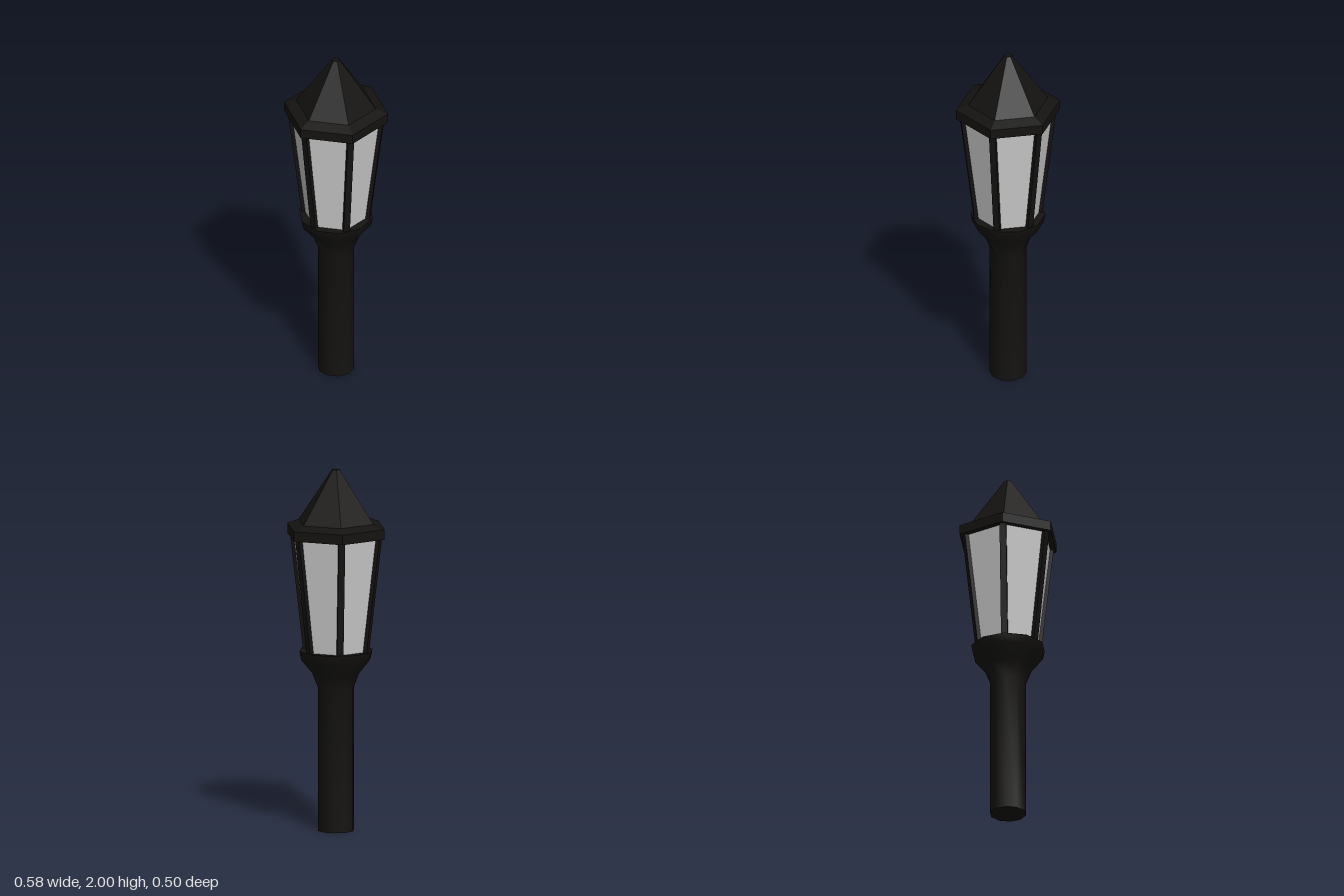
import * as THREE from 'three';
import { toCreasedNormals } from 'three/addons/utils/BufferGeometryUtils.js';

const black = new THREE.MeshStandardMaterial({ color: 0x141311 });
const grey = new THREE.MeshStandardMaterial({ color: 0xcccccc });

// Turned solid with a corner on +x; profile runs from bottom to top
function turned(name, profile, sides, crease, material) {
  const points = profile.map(([r, y]) => new THREE.Vector2(r, y));
  const lathe = new THREE.LatheGeometry(points, sides, Math.PI / 2);
  const mesh = new THREE.Mesh(toCreasedNormals(lathe, crease), material);
  mesh.name = name;
  return mesh;
}

// Upright bar whose outer face leans outward from r0 to r1
function leaningBar(y0, y1, r0, r1, width, depth) {
  const geo = new THREE.BoxGeometry(depth, y1 - y0, width);
  geo.translate(-depth / 2, (y0 + y1) / 2, 0);
  const p = geo.attributes.position;
  for (let i = 0; i < p.count; i++) {
    const t = (p.getY(i) - y0) / (y1 - y0);
    p.setX(i, p.getX(i) + r0 + (r1 - r0) * t);
  }
  geo.computeVertexNormals();
  return geo;
}

export function createModel() {
  const lamp = new THREE.Group();
  lamp.name = 'lantern';

  // Ten-sided post flaring into a cup
  lamp.add(turned('postAndCup', [
    [0, 0], [0.1, 0], [0.1, 0.79], [0.133, 0.875],
    [0.195, 0.95], [0.205, 0.998], [0, 0.998],
  ], 10, 0.75, black));

  // Six tapered panes
  lamp.add(turned('panes', [[0.177, 0.99], [0.255, 1.64]], 6, 0.1, grey));

  // Corner bars between the panes
  const frame = new THREE.Group();
  frame.name = 'frame';
  const barGeo = leaningBar(0.98, 1.64, 0.187, 0.266, 0.036, 0.025);
  for (let i = 0; i < 6; i++) {
    const bar = new THREE.Mesh(barGeo, black);
    bar.name = 'cornerBar';
    bar.rotation.y = (i * Math.PI) / 3;
    frame.add(bar);
  }
  lamp.add(frame);

  // Hexagonal roof with a rim and a blunt tip
  lamp.add(turned('roof', [
    [0, 1.63], [0.289, 1.63], [0.289, 1.685],
    [0.222, 1.71], [0.022, 2], [0, 2],
  ], 6, 0.1, black));

  return lamp;
}
